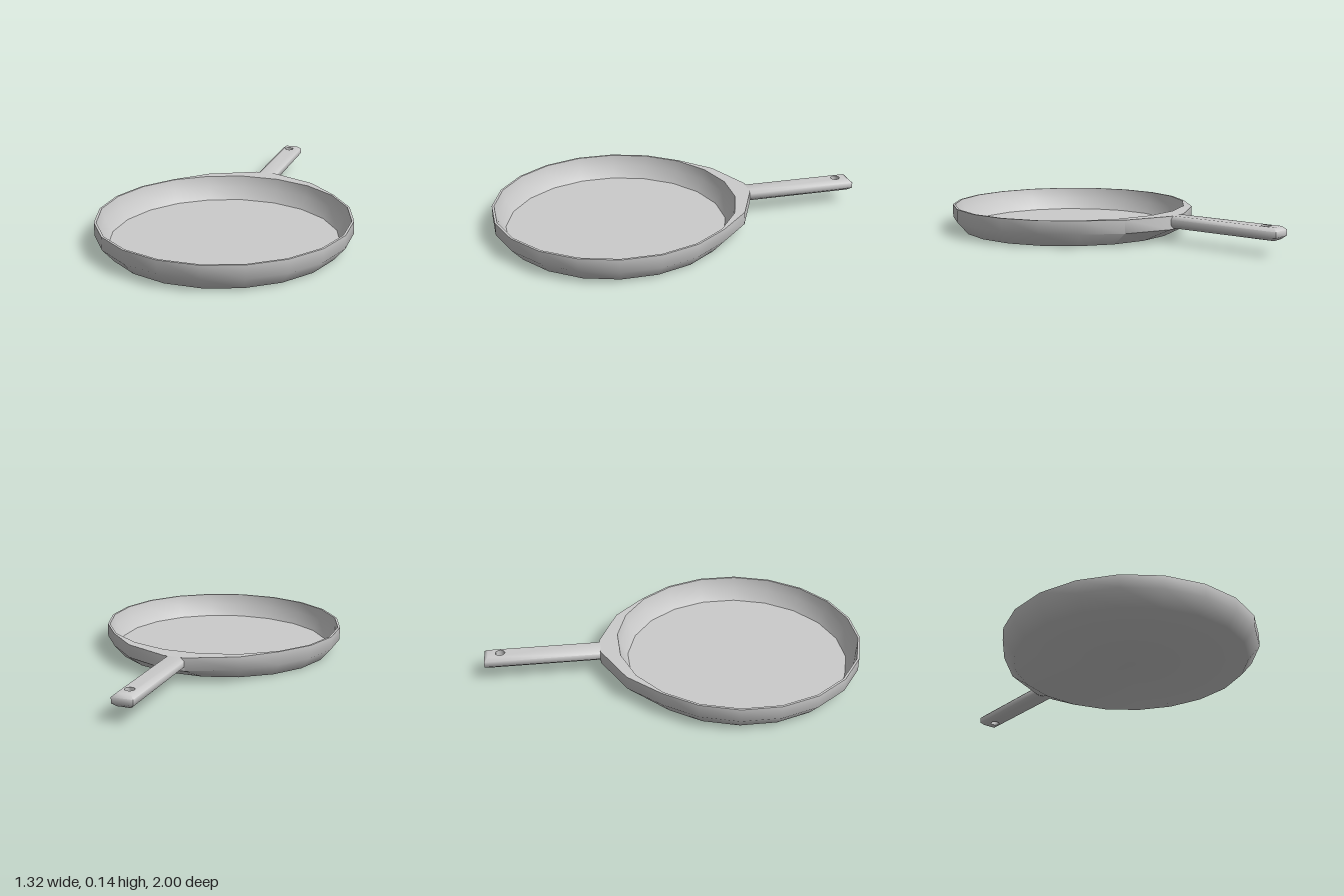
import * as THREE from 'three';
import { toCreasedNormals } from 'three/addons/utils/BufferGeometryUtils.js';

const material = new THREE.MeshStandardMaterial({ color: 0xcccccc });
const CENTER_Z = 0.34;
const RADIUS = 0.66;
const HOLE = { y: 0.521, r: 0.025 };

// Twenty-sided dish whose outer wall is drawn out at the back to meet the handle
function dishGeometry() {
  const profile = [
    [0, 0], [0.6, 0], [RADIUS, 0.07], [RADIUS, 0.14],
    [0.648, 0.14], [0.635, 0.08], [0.595, 0.015], [0, 0.015],
  ].map(([r, y]) => new THREE.Vector2(r, y));
  const geometry = new THREE.LatheGeometry(profile, 20);
  geometry.translate(0, 0, CENTER_Z);

  // Outer wall corners, by lathe step, and where they move in plan (x, z)
  const flare = { 9: [0.2, -0.33], 10: [-0.06, -0.4], 11: [-0.17, -0.385], 12: [-0.4, -0.23] };
  const position = geometry.attributes.position;
  for (const [step, [x, z]] of Object.entries(flare)) {
    for (const ring of [2, 3]) {
      const i = Number(step) * profile.length + ring;
      position.setX(i, x);
      position.setZ(i, z);
    }
  }
  return toCreasedNormals(geometry, 1.0);
}

// Flat bar with chamfered edges and a straight hanging hole near its tip
function handleGeometry() {
  const w = 0.035;
  const shape = new THREE.Shape([
    new THREE.Vector2(-w, -0.005), new THREE.Vector2(w, -0.005),
    new THREE.Vector2(w, 0.585), new THREE.Vector2(-w, 0.585),
  ]);
  shape.holes.push(new THREE.Path().absarc(0, HOLE.y, HOLE.r, 0, Math.PI * 2, true));
  const geometry = new THREE.ExtrudeGeometry(shape, {
    depth: 0.03, bevelThickness: 0.0175, bevelSize: 0.02, bevelSegments: 1, curveSegments: 8,
  });

  // Keep the hole straight: pull its bevelled rings back to one radius
  const position = geometry.attributes.position;
  for (let i = 0; i < position.count; i++) {
    const x = position.getX(i);
    const y = position.getY(i) - HOLE.y;
    const distance = Math.hypot(x, y);
    if (distance < 0.05) {
      position.setX(i, (x / distance) * HOLE.r);
      position.setY(i, HOLE.y + (y / distance) * HOLE.r);
    }
  }
  geometry.rotateX(-Math.PI / 2);
  return toCreasedNormals(geometry, 1.0);
}

export function createModel() {
  const model = new THREE.Group();
  model.name = 'fryingPan';

  const dish = new THREE.Mesh(dishGeometry(), material);
  dish.name = 'dish';

  const handle = new THREE.Mesh(handleGeometry(), material);
  handle.name = 'handle';
  handle.position.set(-0.115, 0.0925, -0.395);
  handle.rotation.y = 0.158;

  model.add(dish, handle);
  return model;
}
